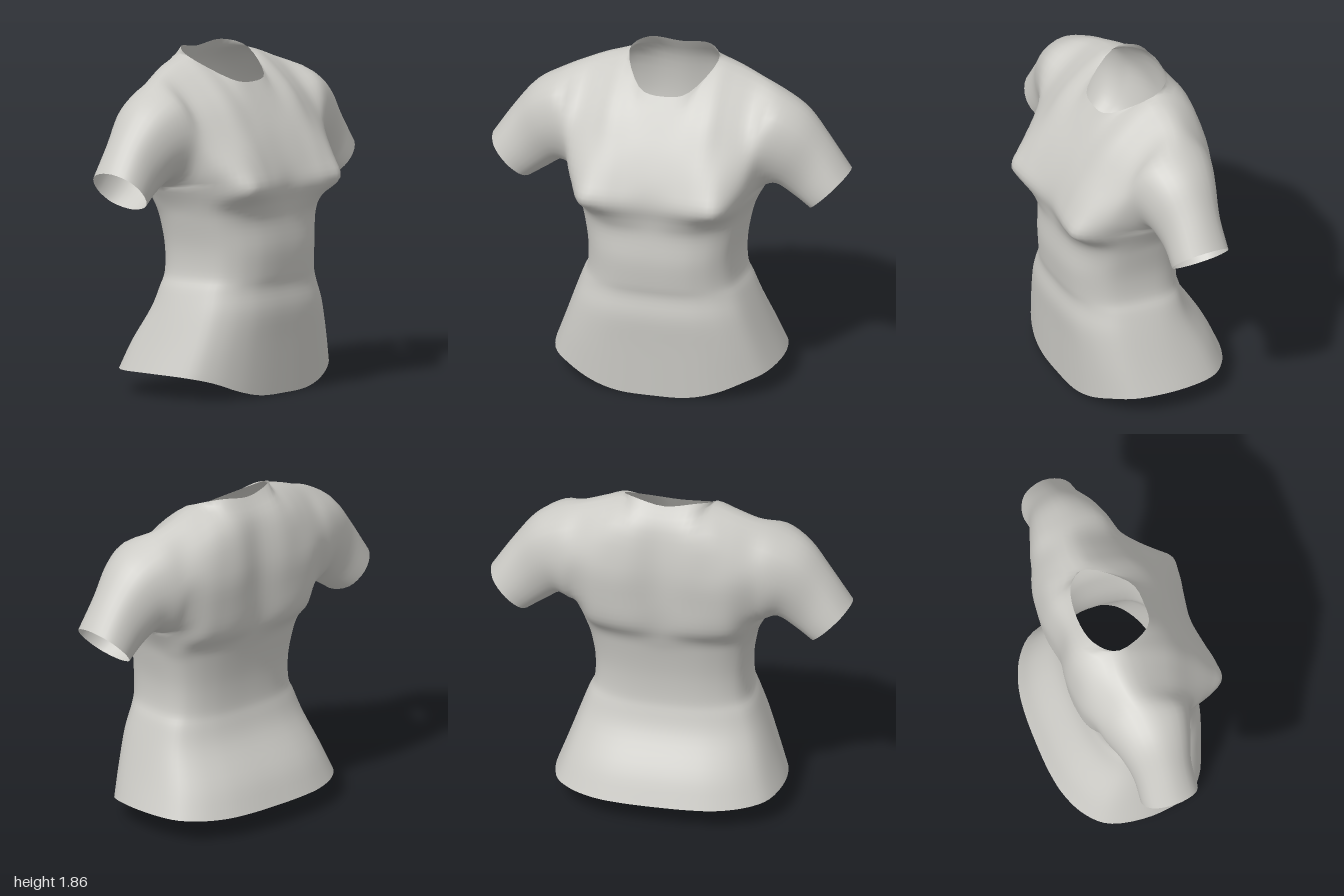
import * as THREE from 'three';
import { mergeGeometries, mergeVertices } from 'three/addons/utils/BufferGeometryUtils.js';

const S = 4; // samples per control span
const V = (p) => new THREE.Vector3(...p);
const flipX = (p) => new THREE.Vector3(-p.x, p.y, p.z);

// Smooth curve through control points, sampled S times per span
function spline(points, closed = false) {
  const spans = closed ? points.length : points.length - 1;
  const curve = new THREE.CatmullRomCurve3(points, closed, 'catmullrom', 0.5);
  return Array.from({ length: spans * S + 1 }, (_, i) => curve.getPoint(i / (spans * S)));
}

// Skin stretched over rows of equal length
function loft(rows) {
  const n = rows[0].length, index = [];
  for (let r = 0; r < rows.length - 1; r++)
    for (let c = 0; c < n - 1; c++) {
      const a = r * n + c, b = a + 1, d = a + n, e = d + 1;
      index.push(a, b, e, a, e, d);
    }
  const g = new THREE.BufferGeometry().setFromPoints(rows.flat());
  g.setIndex(index);
  return g;
}

// Body below the chest: y, half width, side z, front z, back z, bust bulge
const BODY = [
  [0.00, 0.63, -0.04, 0.38, -0.47, 0],
  [0.28, 0.575, -0.02, 0.395, -0.40, 0],
  [0.46, 0.51, 0, 0.405, -0.285, 0],
  [0.58, 0.465, 0, 0.39, -0.24, 0],
  [0.66, 0.43, 0, 0.40, -0.225, 0],
  [0.80, 0.425, 0, 0.41, -0.23, 0],
  [0.95, 0.45, 0, 0.40, -0.255, 0],
  [1.04, 0.475, -0.02, 0.41, -0.28, 0.025],
];
const FRACTION = [0, 0.3, 0.55, 0.78, 0.94, 1];
const BULGE = [0, 0.5, 1, 1, 0.3, 0];
const HEM_FRONT = [0, 0.005, 0.04, 0.095, 0.125, 0.135];
const HEM_BACK = [0.12, 0.12, 0.12, 0.125, 0.13, 0.135];

// Chest to neckline or shoulder, columns from the centre outward
const CHEST_FRONT = [
  [[0, 1.14, 0.43], [0, 1.25, 0.405], [0, 1.40, 0.335], [0, 1.55, 0.245], [0, 1.68, 0.16]],
  [[0.15, 1.14, 0.45], [0.15, 1.25, 0.415], [0.145, 1.41, 0.335], [0.14, 1.57, 0.23], [0.14, 1.705, 0.125]],
  [[0.275, 1.14, 0.47], [0.27, 1.26, 0.425], [0.27, 1.43, 0.325], [0.265, 1.64, 0.175], [0.25, 1.82, -0.08]],
  [[0.39, 1.14, 0.455], [0.385, 1.26, 0.405], [0.375, 1.43, 0.29], [0.365, 1.63, 0.14], [0.36, 1.79, -0.09]],
  [[0.47, 1.14, 0.27], [0.485, 1.25, 0.30], [0.49, 1.42, 0.24], [0.485, 1.60, 0.12], [0.48, 1.745, -0.08]],
];
const CHEST_BACK = [
  [[0, 1.14, -0.31], [0, 1.30, -0.33], [0, 1.50, -0.335], [0, 1.71, -0.30], [0, 1.84, -0.23]],
  [[0.15, 1.14, -0.33], [0.15, 1.30, -0.35], [0.15, 1.50, -0.36], [0.15, 1.72, -0.315], [0.17, 1.86, -0.2]],
  [[0.275, 1.14, -0.325], [0.27, 1.30, -0.35], [0.27, 1.50, -0.355], [0.265, 1.73, -0.285]],
  [[0.39, 1.14, -0.29], [0.385, 1.30, -0.33], [0.38, 1.50, -0.34], [0.37, 1.69, -0.265]],
  [[0.47, 1.14, -0.19], [0.485, 1.26, -0.265], [0.49, 1.48, -0.305], [0.485, 1.65, -0.23]],
];
// Sleeve rings: underside x, y, top x, y, centre z, half depth
const SLEEVE = [
  [0.53, 1.145, 0.615, 1.69, -0.04, 0.24],
  [0.60, 1.168, 0.76, 1.60, -0.038, 0.2],
  [0.69, 1.11, 0.88, 1.45, -0.04, 0.163],
  [0.78, 1.05, 1.00, 1.27, -0.04, 0.16],
];
const T = BODY.length; // control row of the chest line

function bodyPoint(row, c, back) {
  const [y, w, zs, zf, zb, bulge] = BODY[row];
  const f = FRACTION[c], n = back ? 2.7 : 2.8;
  const round = Math.pow(1 - Math.pow(f, n), 1 / n);
  const z = back ? zs + (zb - zs) * round : zs + (zf - zs) * round + bulge * BULGE[c];
  return V([w * f, row ? y : (back ? HEM_BACK : HEM_FRONT)[c], z]);
}

// Vertical column, sampled front and back from the hem upward
function column(c) {
  const lower = (back) => BODY.map((_, r) => bodyPoint(r, Math.min(c, 5), back));
  if (c >= 5) {
    const [x0, y0, x1, y1, cz, h] = SLEEVE[c - 5];
    const ring = Array.from({ length: 8 }, (_, j) => {
      const a = j * Math.PI / 4, k = (1 - Math.cos(a)) / 2, s = Math.sin(a);
      return V([x0 + (x1 - x0) * k, y0 + (y1 - y0) * k,
        cz + h * Math.sign(s) * Math.pow(Math.abs(s), 0.85)]);
    });
    const side = spline([...lower(false), ring[0]]).slice(0, -1);
    const loop = spline(ring, true);
    return [[...side, ...loop.slice(0, 4 * S + 1)], [...side, ...loop.slice(4 * S).reverse()]];
  }
  const front = [...lower(false), ...CHEST_FRONT[c].map(V)];
  const back = [...lower(true), ...CHEST_BACK[c].map(V)];
  if (c < 2) return [spline(front), spline(back)];
  const all = spline([...front, ...back.reverse()]), mid = (T + 4) * S;
  return [all.slice(0, mid + 1), all.slice(mid).reverse()];
}

function shirtGeometry() {
  const cols = Array.from({ length: 9 }, (_, c) => column(c));
  const at = (c, back, r) => {
    const p = cols[Math.abs(c)][back][r];
    return c < 0 ? flipX(p) : p;
  };
  const across = (from, to, back, r) =>
    Array.from({ length: to - from + 1 }, (_, i) => at(from + i, back, r));
  // Closed ring through front and back columns up to column m
  const ring = (m, r) => spline([...across(-m, m, 0, r), ...across(1 - m, m - 1, 1, r).reverse()], true);

  // Body rings
  const body = [];
  for (let r = 0; r <= T * S; r++) body.push(ring(5, r));

  // Chest, shoulders and sleeves as a front and a back sheet
  const top = (T + 4) * S;
  const sheet = (back) => {
    const rows = [];
    for (let r = T * S; r <= top; r++) {
      const m = r === T * S ? 5 : r === top ? 2 : 0;
      if (!m) { rows.push(spline(across(-8, 8, back, r))); continue; }
      const loop = ring(m, r), half = 2 * m * S;
      const middle = back ? loop.slice(half).reverse() : loop.slice(0, half + 1);
      const arm = spline(across(m, 8, 0, r)).slice(1);
      rows.push([...arm.map(flipX).reverse(), ...middle, ...arm]);
    }
    return back ? rows.map((row) => row.reverse()) : rows;
  };
  const g = mergeVertices(mergeGeometries([loft(body), loft(sheet(0)), loft(sheet(1))]), 1e-4);
  g.computeVertexNormals();
  return g;
}

export function createModel() {
  const fabric = new THREE.MeshStandardMaterial({ color: 0xcccbc6, side: THREE.DoubleSide });
  fabric.name = 'light grey fabric';
  const shirt = new THREE.Mesh(shirtGeometry(), fabric);
  shirt.name = 'shirt';
  const model = new THREE.Group();
  model.name = 'fitted short sleeved shirt';
  model.add(shirt);
  return model;
}
